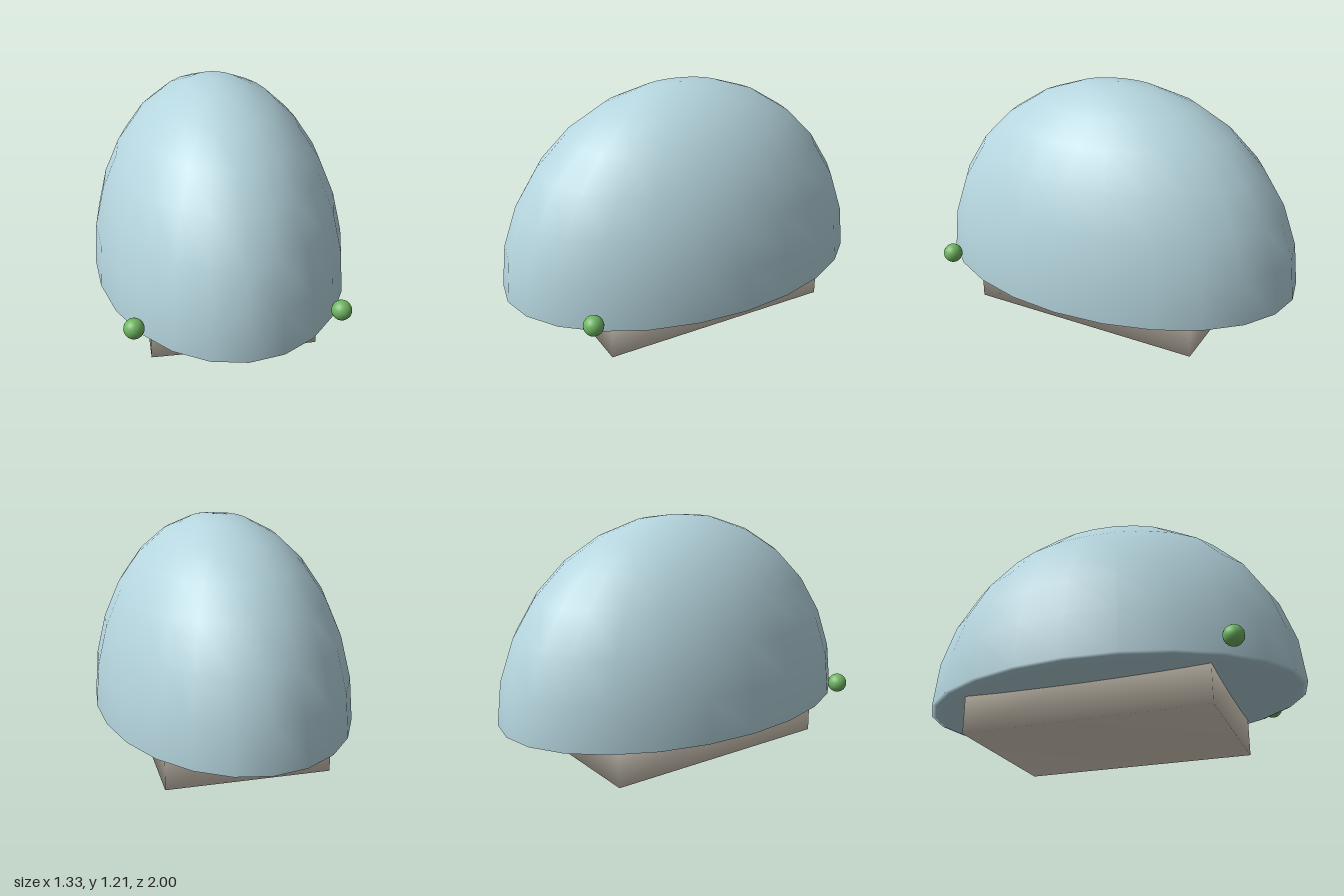
import * as THREE from 'three';
import { mergeVertices } from 'three/addons/utils/BufferGeometryUtils.js';

const flat = (name, color) => {
  const m = new THREE.MeshStandardMaterial({ color });
  m.name = name;
  return m;
};

// Weld all corners so that shading runs smoothly over every edge
function smooth(geometry) {
  geometry.deleteAttribute('normal');
  geometry.deleteAttribute('uv');
  const welded = mergeVertices(geometry, 1e-4);
  welded.computeVertexNormals();
  return welded;
}

export function createModel() {
  const group = new THREE.Group();
  const blue = flat('paleBlue', 0xb5d5de);
  const cream = flat('cream', 0xd9d0c0);
  const green = flat('green', 0x6fb562);
  const add = (name, geometry, material, x, y, z) => {
    const mesh = new THREE.Mesh(geometry, material);
    mesh.name = name;
    mesh.position.set(x, y, z);
    group.add(mesh);
  };

  // Oval dome: a sphere whose lower half is pressed nearly flat
  const dome = new THREE.SphereGeometry(1, 24, 14);
  const p = dome.attributes.position;
  for (let i = 0; i < p.count; i++) {
    const y = p.getY(i);
    p.setXYZ(i, p.getX(i) * 0.667, y < 0 ? y * 0.037 : y, p.getZ(i));
  }
  add('domeBody', smooth(dome), blue, 0, 0.21, 0);

  // Block foot, reaching up into the dome
  add('base', smooth(new THREE.BoxGeometry(0.834, 0.417, 1.25)), cream, 0, 0.2085, 0);

  // Mirrored ball eyes
  const eye = new THREE.SphereGeometry(0.05, 20, 14);
  for (const side of [1, -1]) {
    add(side > 0 ? 'leftEye' : 'rightEye', eye, green, side * 0.5, 0.273, 0.75);
  }
  return group;
}
